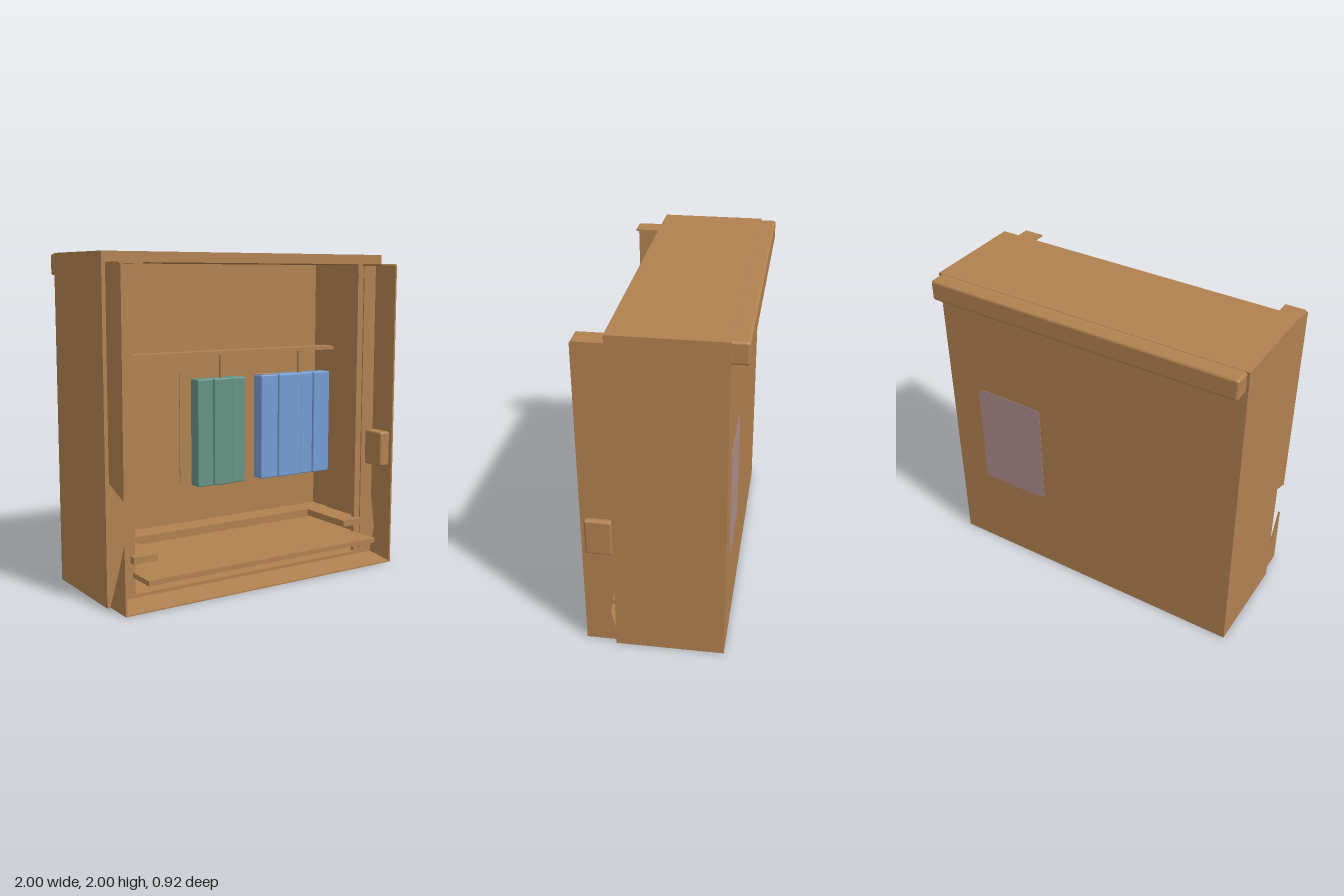
import * as THREE from 'three';
import { RoundedBoxGeometry } from 'three/addons/geometries/RoundedBoxGeometry.js';

const mat = (name, color, side = THREE.FrontSide) => {
  const m = new THREE.MeshStandardMaterial({ color, side });
  m.name = name;
  return m;
};

export function createModel() {
  const root = new THREE.Group();
  root.name = 'woodenCabinet';
  const wood = mat('wood brown', 0xb18150, THREE.DoubleSide);
  const teal = mat('teal', 0x659384);
  const blue = mat('blue', 0x759dd4);
  const mauve = mat('mauve', 0xae8d8c);

  // Box from its min and max limits, optionally with rounded edges
  const box = (name, m, [x0, x1], [y0, y1], [z0, z1], r = 0, parent = root) => {
    const s = [x1 - x0, y1 - y0, z1 - z0];
    const g = r ? new RoundedBoxGeometry(...s, 3, r) : new THREE.BoxGeometry(...s);
    const mesh = new THREE.Mesh(g, m);
    mesh.position.set((x0 + x1) / 2, (y0 + y1) / 2, (z0 + z1) / 2);
    mesh.name = name;
    parent.add(mesh);
    return mesh;
  };

  // Upright sheet outlined by [z, y] points, starting at a given x
  const sheet = (name, x, width, points, parent) => {
    const shape = new THREE.Shape(points.map(([z, y]) => new THREE.Vector2(-z, y)));
    const g = new THREE.ExtrudeGeometry(shape, { depth: width, bevelEnabled: false });
    g.rotateY(Math.PI / 2);
    g.translate(x, 0, 0);
    const mesh = new THREE.Mesh(g, wood);
    mesh.name = name;
    parent.add(mesh);
  };

  // Thick-walled case, open at the front
  const shell = new THREE.Group();
  shell.name = 'caseShell';
  root.add(shell);
  box('backWall', wood, [-1, 1], [0, 2], [-0.37, -0.235], 0, shell);
  box('topWall', wood, [-1, 1], [1.94, 2], [-0.235, 0.27], 0, shell);
  box('bottomWall', wood, [-1, 1], [0, 0.05], [-0.235, 0.27], 0, shell);
  for (const s of [-1, 1]) {
    const span = (a, b) => (s > 0 ? [a, b] : [-b, -a]);
    box('sideWall', wood, span(0.86, 1), [0.05, 1.94], [-0.235, 0.27], 0, shell);
    box('frontFlange', wood, span(0.815, 0.87), [0.05, 1.94], [0.235, 0.262], 0, shell);
    box('flangeBracket', wood, span(0.81, 0.9), [1.86, 1.88], [0.24, 0.275], 0, shell);
    box('postCap', wood, span(0.84, 0.965), [1.93, 1.94], [0.27, 0.45], 0, shell);
  }
  box('rearTopLip', wood, [-0.985, 0.985], [1.87, 1.998], [-0.465, -0.355], 0.016, shell);

  // Fins in front of the sides; the right one is broken by a gap
  const fins = new THREE.Group();
  fins.name = 'sideFins';
  root.add(fins);
  sheet('leftFin', 0.955, 0.012, [[0.265, 0], [0.455, 0], [0.455, 1.93], [0.43, 1.94],
    [0.27, 1.94], [0.27, 0.42], [0.305, 0.2], [0.268, 0.05]], fins);
  sheet('rightFinUpper', -0.977, 0.012, [[0.27, 0.72], [0.45, 0.65], [0.455, 1.93],
    [0.43, 1.94], [0.27, 1.94]], fins);
  sheet('rightFinLower', -0.977, 0.012, [[0.27, 0], [0.455, 0], [0.45, 0.41],
    [0.36, 0.2], [0.28, 0.04]], fins);
  box('latch', wood, [0.885, 0.998], [0.64, 0.865], [0.272, 0.43], 0.014);

  // Front sill: low strip that rises slightly towards the case
  sheet('frontSill', -0.977, 1.944, [[0.265, 0], [0.455, 0], [0.455, 0.008],
    [0.265, 0.03]], root);

  // Floor panel reaching out over the sill
  box('floorPanel', wood, [-0.83, 0.83], [0.15, 0.18], [-0.235, 0.452]);

  // U-shaped rail above the floor
  const rail = new THREE.Group();
  rail.name = 'floorRail';
  root.add(rail);
  box('railBack', wood, [-0.86, 0.86], [0.24, 0.28], [-0.235, -0.08], 0, rail);
  box('railRight', wood, [-0.845, -0.69], [0.24, 0.28], [-0.08, 0.305], 0, rail);
  box('railLeft', wood, [0.69, 0.845], [0.24, 0.28], [-0.08, 0.305], 0, rail);

  // Hanging bar with its two hangers, and the panel behind the volumes
  box('hangingBar', wood, [-0.86, 0.86], [1.375, 1.4], [-0.13, -0.035]);
  for (const x of [-0.015, 0.6]) {
    box('hanger', wood, [x - 0.009, x + 0.009], [1.22, 1.38], [-0.085, -0.067]);
  }
  box('backingPanel', wood, [-0.23, 0.84], [0.54, 1.25], [-0.24, -0.228]);

  // Rows of upright volumes
  const row = (name, m, edges) => {
    const g = new THREE.Group();
    g.name = name;
    root.add(g);
    for (let i = 0; i + 1 < edges.length; i++) {
      box('volume', m, [edges[i] + 0.001, edges[i + 1] - 0.001], [0.55, 1.23],
        [-0.12, i % 2 ? -0.02 : -0.028], 0.008, g);
    }
  };
  row('tealVolumes', teal, [-0.215, -0.1, 0.035, 0.14]);
  row('blueVolumes', blue, [0.265, 0.4, 0.585, 0.685, 0.82]);
  box('volumeTop', mauve, [0.28, 0.385], [1.228, 1.234], [-0.11, -0.04]);

  // Mauve panel with rounded corners on the back
  const [x0, x1, y0, y1, r] = [0.33, 0.79, 0.55, 1.25, 0.03];
  const patch = new THREE.Shape();
  patch.absarc(x1 - r, y1 - r, r, 0, Math.PI / 2);
  patch.absarc(x0 + r, y1 - r, r, Math.PI / 2, Math.PI);
  patch.absarc(x0 + r, y0 + r, r, Math.PI, Math.PI * 1.5);
  patch.absarc(x1 - r, y0 + r, r, Math.PI * 1.5, Math.PI * 2);
  const panel = new THREE.Mesh(
    new THREE.ExtrudeGeometry(patch, { depth: 0.004, bevelEnabled: false }), mauve);
  panel.position.z = -0.372;
  panel.name = 'backPanel';
  root.add(panel);

  return root;
}
